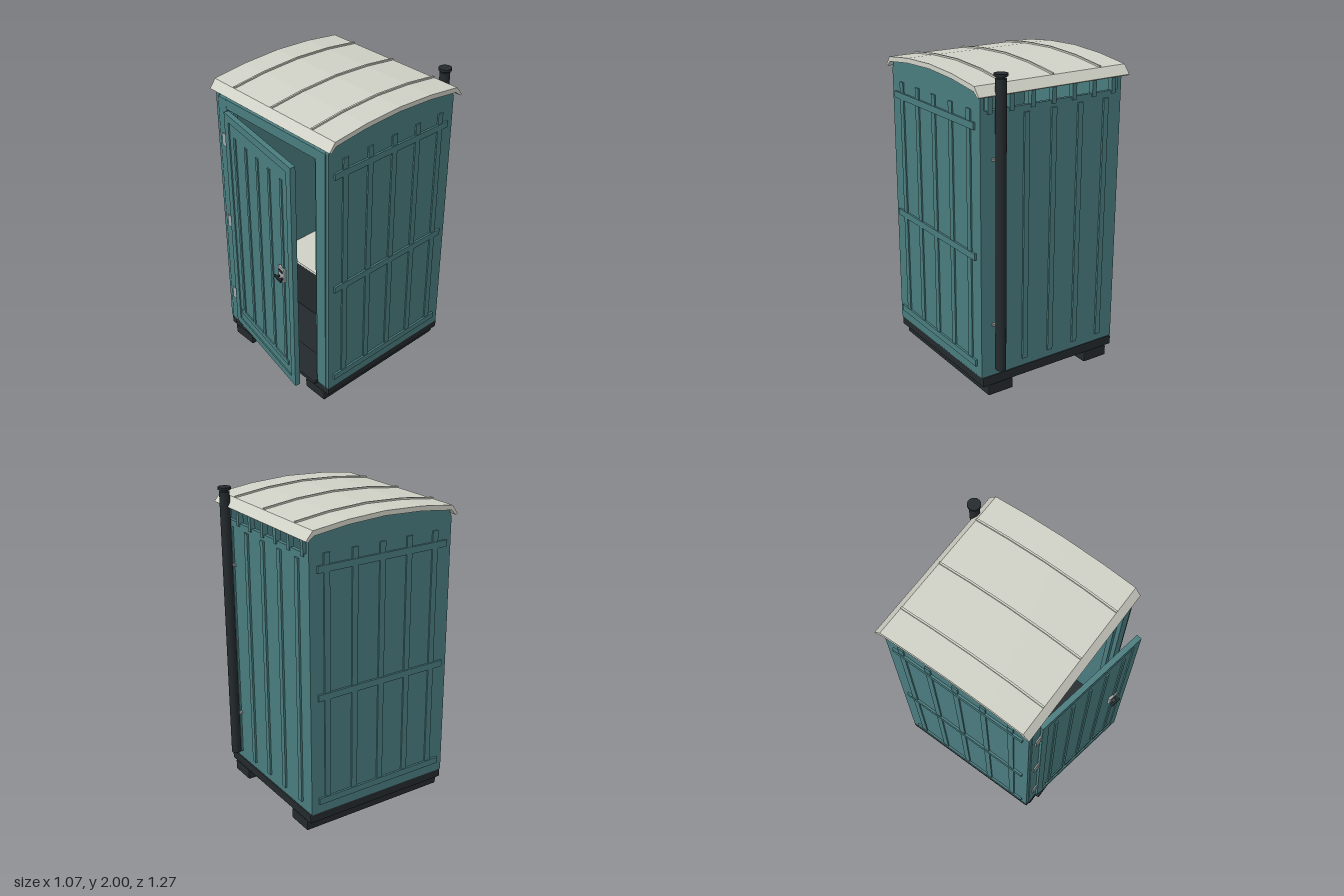
import * as THREE from 'three';
import { RoundedBoxGeometry } from 'three/addons/geometries/RoundedBoxGeometry.js';

const mat = (color, side = THREE.FrontSide) => new THREE.MeshStandardMaterial({ color, side, flatShading: true });

export function createModel() {
  const teal = mat(0x4a7c7f), dark = mat(0x23292d), cream = mat(0xd0d1c6), steel = mat(0xa3a8a8);
  const pipeMat = new THREE.MeshStandardMaterial({ color: 0x23292d });
  const model = new THREE.Group();
  model.name = 'portableToilet';

  const group = (name) => {
    const g = new THREE.Group();
    g.name = name;
    model.add(g);
    return g;
  };
  const add = (parent, name, geometry, material) => {
    const m = new THREE.Mesh(geometry, material);
    m.name = name;
    parent.add(m);
    return m;
  };
  // Box given by its two extreme corners
  const box = (parent, name, x0, x1, y0, y1, z0, z1, material, radius = 0) => {
    const s = [x1 - x0, y1 - y0, z1 - z0];
    const g = radius ? new RoundedBoxGeometry(...s, 1, radius) : new THREE.BoxGeometry(...s);
    g.translate((x0 + x1) / 2, (y0 + y1) / 2, (z0 + z1) / 2);
    return add(parent, name, g, material);
  };
  // Side outline [z, y] extruded along x from x0 to x1
  const slab = (parent, name, pts, x0, x1, material) => {
    const shape = new THREE.Shape(pts.map(([z, y]) => new THREE.Vector2(z, y)));
    const g = new THREE.ExtrudeGeometry(shape, { depth: x1 - x0, bevelEnabled: false });
    g.rotateY(-Math.PI / 2).translate(x1, 0, 0);
    return add(parent, name, g, material);
  };
  const cylinder = (parent, name, r, y0, y1, x, z, material, sides = 24) => {
    const g = new THREE.CylinderGeometry(r, r, y1 - y0, sides);
    g.translate(x, (y0 + y1) / 2, z);
    return add(parent, name, g, material);
  };

  // Base with two skids, floor and door step
  const base = group('base');
  for (const s of [-1, 1]) box(base, 'skid', s * 0.37 - 0.09, s * 0.37 + 0.09, 0, 0.07, -0.57, 0.45, dark, 0.008);
  box(base, 'floor', -0.5, 0.5, 0.07, 0.13, -0.57, 0.45, dark, 0.008);
  box(base, 'doorStep', -0.41, 0.41, 0.125, 0.157, 0.3, 0.488, dark, 0.005);

  // Side walls with a rib lattice
  const arch = [[0.43, 1.9], [0.2, 1.93], [-0.065, 1.945], [-0.32, 1.93], [-0.54, 1.9]];
  const wallOutline = [[-0.56, 0.13], [0.45, 0.13], [0.45, 1.855], ...arch, [-0.56, 1.87]];
  for (const s of [-1, 1]) {
    const side = group(s > 0 ? 'leftWall' : 'rightWall');
    const span = (a, b) => [Math.min(s * a, s * b), Math.max(s * a, s * b)];
    slab(side, 'sidePanel', wallOutline, ...span(0.475, 0.503), teal);
    for (let i = -2; i <= 2; i++) {
      const z = -0.06 + i * 0.193;
      box(side, 'verticalRib', ...span(0.5, 0.512), 0.19, 1.79, z - 0.02, z + 0.02, teal);
    }
    for (const y of [0.215, 0.913, 1.7])
      box(side, 'horizontalRib', ...span(0.5, 0.516), y - 0.021, y + 0.021, -0.51, 0.41, teal);
  }

  // Back wall: ribbed panel with a row of vents along the top
  const back = group('backWall');
  box(back, 'backPanel', -0.48, 0.48, 0.13, 1.79, -0.56, -0.535, teal);
  box(back, 'ventRail', -0.48, 0.48, 1.865, 1.9, -0.555, -0.535, teal);
  for (let i = -2; i <= 2; i++) box(back, 'backRib', i * 0.192 - 0.018, i * 0.192 + 0.018, 0.18, 1.75, -0.572, -0.555, teal);
  for (let i = -3; i <= 3; i++) box(back, 'ventBar', i * 0.147 - 0.015, i * 0.147 + 0.015, 1.77, 1.88, -0.568, -0.535, teal);

  // Front frame around the doorway
  const front = group('frontFrame');
  for (const s of [-1, 1]) {
    box(front, 'doorPost', s * 0.44 - 0.04, s * 0.44 + 0.04, 0.13, 1.85, 0.4, 0.457, teal, 0.005);
    box(front, 'doorJamb', s * 0.385 - 0.018, s * 0.385 + 0.018, 0.15, 1.8, 0.4, 0.43, teal);
  }
  box(front, 'header', -0.405, 0.405, 1.785, 1.85, 0.4, 0.455, teal);
  box(front, 'upperPanel', -0.48, 0.48, 1.84, 1.905, 0.405, 0.435, teal);

  // Door standing ajar, pivoting on its hinge edge
  const door = group('door');
  door.position.set(-0.4, 0, 0.44);
  door.rotation.y = -0.172;
  box(door, 'doorPanel', 0.02, 0.76, 0.18, 1.75, 0.003, 0.026, teal);
  for (const x of [0, 0.73]) box(door, 'doorStile', x, x + 0.05, 0.16, 1.77, 0, 0.034, teal);
  for (const y of [0.16, 1.722]) box(door, 'doorRail', 0.05, 0.73, y, y + 0.048, 0, 0.034, teal);
  for (let i = 0; i < 5; i++) {
    const x = 0.116 + i * 0.137;
    box(door, 'doorRib', x - 0.011, x + 0.011, 0.305, 1.64, 0.02, 0.034, teal);
  }
  box(door, 'doorCrossRib', 0.08, 0.695, 0.272, 0.305, 0.02, 0.034, teal);
  // Latch plate with indicator slot and grip
  box(door, 'latchPlate', 0.618, 0.688, 0.925, 1.022, 0.024, 0.042, steel, 0.005);
  box(door, 'indicatorSlot', 0.634, 0.672, 0.988, 1.004, 0.038, 0.045, dark);
  for (const x of [0.629, 0.667]) box(door, 'gripMount', x, x + 0.012, 0.945, 0.957, 0.04, 0.062, dark);
  box(door, 'grip', 0.615, 0.693, 0.942, 0.96, 0.056, 0.07, dark, 0.004);

  // Hinges
  const hinges = group('hinges');
  for (const y of [0.375, 0.965, 1.567]) {
    box(hinges, 'hingePlate', -0.45, -0.402, y - 0.043, y + 0.043, 0.454, 0.465, steel);
    cylinder(hinges, 'hingePin', 0.009, y - 0.043, y + 0.043, -0.402, 0.463, steel, 10);
  }

  // Arched roof with turned-down lips and three raised seams
  const roof = group('roof');
  const crown = [[0.43, 1.935], [0.2, 1.963], [-0.065, 1.975], [-0.32, 1.963], [-0.55, 1.935]];
  const under = crown.map(([z, y]) => [z * 0.985, y - 0.03]).reverse();
  slab(roof, 'roofShell', [[0.457, 1.872], [0.47, 1.88], ...crown, [-0.597, 1.88], [-0.585, 1.872], ...under], -0.533, 0.533, cream);
  const seam = [...crown.map(([z, y]) => [z, y + 0.01]), ...[...crown].reverse().map(([z, y]) => [z, y - 0.01])].reverse();
  for (const x of [-0.345, 0, 0.345]) slab(roof, 'roofSeam', seam.slice().reverse(), x - 0.006, x + 0.006, cream);

  // Vent pipe with rain cap and clips
  const vent = group('ventPipe');
  cylinder(vent, 'pipe', 0.032, 0.18, 1.972, 0.39, -0.598, pipeMat);
  cylinder(vent, 'capNeck', 0.018, 1.965, 1.99, 0.39, -0.598, pipeMat);
  cylinder(vent, 'rainCap', 0.041, 1.985, 2, 0.39, -0.598, pipeMat);
  for (const y of [0.475, 1.505]) box(vent, 'pipeClip', 0.35, 0.43, y - 0.008, y + 0.008, -0.575, -0.555, steel);

  // Bench with a seat inside
  const bench = group('toilet');
  box(bench, 'bench', -0.475, 0.475, 0.13, 0.49, -0.535, 0.02, dark, 0.01);
  box(bench, 'benchTop', -0.475, 0.475, 0.485, 0.51, -0.535, 0.03, cream, 0.01);
  const seatProfile = [[0.1, 0], [0.1, 0.03], [0.12, 0.042], [0.16, 0.042], [0.18, 0.03], [0.18, 0]];
  const seat = new THREE.LatheGeometry(seatProfile.map(([r, y]) => new THREE.Vector2(r, y)).reverse(), 32);
  const ring = add(bench, 'seat', seat, mat(0xd0d1c6, THREE.DoubleSide));
  ring.position.set(0, 0.505, -0.18);
  ring.scale.z = 1.1;
  cylinder(bench, 'bowlOpening', 0.102, 0.5, 0.515, 0, -0.18, dark).name = 'bowlOpening';

  return model;
}
